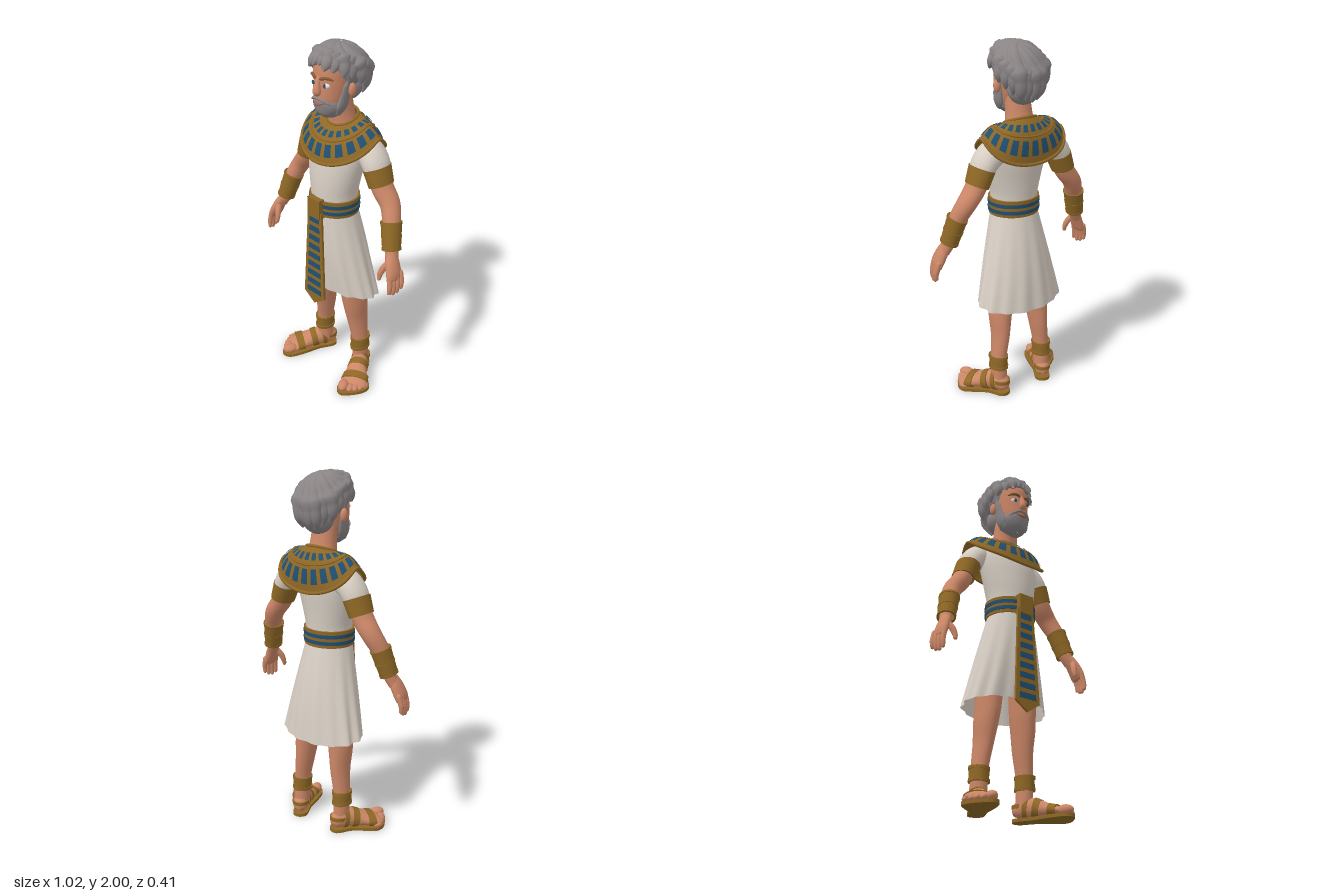
import * as THREE from 'three';
import { toCreasedNormals } from 'three/addons/utils/BufferGeometryUtils.js';

const V = (x, y, z) => new THREE.Vector3(x, y, z);
const Z = V(0, 0, 1), Y = V(0, 1, 0);

// Surface from fn(u, v) -> Vector3; closed joins the u ends
function grid(fn, nu, nv, closed = false) {
  const cols = closed ? nu : nu + 1, pos = [], idx = [];
  for (let j = 0; j <= nv; j++)
    for (let i = 0; i < cols; i++) pos.push(...fn(i / nu, j / nv).toArray());
  for (let j = 0; j < nv; j++)
    for (let i = 0; i < nu; i++) {
      const a = j * cols + i, b = j * cols + (i + 1) % cols;
      idx.push(a, a + cols, b, b, a + cols, b + cols);
    }
  const g = new THREE.BufferGeometry();
  g.setAttribute('position', new THREE.Float32BufferAttribute(pos, 3));
  g.setIndex(idx);
  g.computeVertexNormals();
  return g;
}

// Elliptical tube through points [x, y, z, r1, r2]; r2 lies along ref
function limb(pts, { n = 24, m = 20, ref = Z, straight = false } = {}) {
  const P = pts.map(p => V(p[0], p[1], p[2])), R = pts.map(p => V(p[3], p[4], 0));
  const path = new THREE.CatmullRomCurve3(P), rad = new THREE.CatmullRomCurve3(R);
  if (straight) n = pts.length - 1;
  const rings = [];
  for (let j = 0; j <= n; j++) {
    const t = straight ? P[n].clone().sub(P[0]).normalize() : path.getTangent(j / n);
    const u = t.clone().cross(ref).normalize(), w = u.clone().cross(t);
    rings.push({ p: straight ? P[j] : path.getPoint(j / n), r: straight ? R[j] : rad.getPoint(j / n), u, w });
  }
  return grid((a, v) => {
    const { p, r, u, w } = rings[Math.round(v * n)], k = a * Math.PI * 2;
    return p.clone().addScaledVector(u, Math.max(r.x, 0.001) * Math.cos(k)).addScaledVector(w, Math.max(r.y, 0.001) * Math.sin(k));
  }, m, n, true);
}

// Sharp-edged cuff between two sections
function band(a, b, ref = Z, m = 32) {
  const inner = p => [p[0], p[1], p[2], p[3] * 0.85, p[4] * 0.85];
  return toCreasedNormals(limb([inner(a), a, b, inner(b)], { straight: true, ref, m }), 0.6);
}

const ball = (x, y, z, rx, ry, rz) => new THREE.SphereGeometry(1, 24, 16).scale(rx, ry, rz).translate(x, y, z);

function mirrored(geo) {
  const g = geo.clone().scale(-1, 1, 1);
  if (!g.index) g.setIndex([...Array(g.attributes.position.count).keys()]);
  const ix = g.index.array;
  for (let i = 0; i < ix.length; i += 3) [ix[i], ix[i + 1]] = [ix[i + 1], ix[i]];
  return g;
}

// Saddle-shaped collar: a runs around, t from neck to outer edge, off lifts it
function collarPoint(a, t, off = 0) {
  const c = Math.cos(a), s = Math.sin(a), bulge = 0.028 * Math.sin(Math.PI * t) + off;
  const full = 1 + 0.22 * c * c * s * s;
  const inner = V(0.083 * c, 1.597 - 0.028 * s, -0.06 + 0.075 * s);
  const outer = V(0.245 * c * full, 1.552 - 0.162 * Math.sqrt(s * s + 0.015), -0.035 - 0.04 * c * c + 0.163 * s * full);
  return inner.lerp(outer, t).add(V(c * bulge * 0.5, bulge * 0.75, s * bulge * 0.8));
}

export function createModel() {
  const root = new THREE.Group();
  root.name = 'robedMan';
  const mat = (name, color, side = THREE.FrontSide) => {
    const m = new THREE.MeshStandardMaterial({ color, side });
    m.name = name;
    return m;
  };
  const skin = mat('skin', 0xcc8767), linen = mat('linen', 0xd9d0c5, THREE.DoubleSide);
  const hair = mat('greyHair', 0x8b8586), gold = mat('gold', 0x8f6826, THREE.DoubleSide);
  const blue = mat('blueInlay', 0x205072, THREE.DoubleSide), white = mat('eyeWhite', 0xe6e2dc);
  const brow = mat('brownBrow', 0x865a34), lip = mat('lip', 0xa8604e);
  const add = (name, geo, m) => {
    const mesh = new THREE.Mesh(geo, m);
    mesh.name = name;
    root.add(mesh);
  };
  const pair = (name, geo, m) => {
    add(name + 'Left', geo, m);
    add(name + 'Right', mirrored(geo), m);
  };

  // Torso and neck
  add('tunic', limb([[0, 1.06, 0, .128, .118], [0, 1.18, 0, .132, .122], [0, 1.28, -.005, .152, .126], [0, 1.4, -.02, .175, .125],
    [0, 1.47, -.035, .176, .112], [0, 1.53, -.055, .14, .08], [0, 1.555, -.06, .08, .05]], { m: 36 }), linen);
  add('neck', limb([[0, 1.5, -.06, .088, .08], [0, 1.57, -.056, .08, .073], [0, 1.64, -.045, .071, .068], [0, 1.72, -.03, .067, .068]]), skin);

  // Pleated skirt, lower at the back
  add('skirt', grid((u, v) => {
    const a = u * Math.PI * 2, s = Math.sin(a), t = 1 - v;
    const k = 1 + t * (0.026 * Math.cos(14 * a) + 0.016 * Math.sin(9 * a));
    return V((.13 + .122 * t) * k * Math.cos(a), 1.09 - t * (.522 - .025 * s), -.052 * t + (.12 + .03 * t + .014 * Math.sin(Math.PI * t)) * k * s);
  }, 144, 14, true), linen);

  // Belt, buckle and hanging panel
  add('belt', band([0, 1.075, 0, .14, .128], [0, 1.168, 0, .143, .132], Z, 48), gold);
  for (const y of [1.092, 1.129]) add('beltInlay', band([0, y, 0, .1445, .1325], [0, y + .02, 0, .1455, .1335], Z, 48), blue);
  add('buckle', new THREE.BoxGeometry(.09, .112, .04).translate(-.005, 1.122, .134), gold);
  const hang = g => {
    const p = g.attributes.position;
    for (let i = 0; i < p.count; i++) p.setZ(i, p.getZ(i) + (1.1 - p.getY(i)) * .02);
    g.computeVertexNormals();
    return g.translate(-.005, 0, 0);
  };
  const poly = pts => new THREE.Shape(pts.map(p => new THREE.Vector2(...p)));
  const extrude = (shape, depth, z) => new THREE.ExtrudeGeometry(shape, { depth, bevelEnabled: false }).translate(0, 0, z);
  add('frontPanel', hang(extrude(poly([[-.052, 1.1], [-.079, .56], [0, .506], [.079, .56], [.052, 1.1]]), .013, .132)), gold);
  for (let i = 0; i < 9; i++) {
    const y = .576 + i * .057, w = .055 - i * .0022;
    add('panelInlay', hang(extrude(poly([[-w, y], [w, y], [w - .002, y + .032], [-w + .002, y + .032]]), .003, .144)), blue);
  }

  // Broad collar with two rows of inlay
  add('collar', grid((u, v) => collarPoint(u * Math.PI * 2, 1 - v), 72, 12, true), gold);
  for (const [t, r] of [[0, .008], [.47, .005], [1, .009]]) {
    const loop = Array.from({ length: 48 }, (_, i) => collarPoint(i * Math.PI / 24, t));
    add('collarRim', new THREE.TubeGeometry(new THREE.CatmullRomCurve3(loop, true), 96, r, 8, true), gold);
  }
  for (const [t0, t1, count, fill] of [[.2, .38, 22, .6], [.57, .86, 22, .62]])
    for (let i = 0; i < count; i++)
      add('collarInlay', grid((u, v) => collarPoint((i + .5 + (u - .5) * fill) / count * Math.PI * 2, t1 + (t0 - t1) * v, .005), 3, 3), blue);

  // Arms, sleeves and cuffs
  pair('sleeve', limb([[.1, 1.47, -.07, .05, .065], [.178, 1.448, -.074, .072, .08], [.228, 1.4, -.072, .066, .082], [.252, 1.345, -.07, .06, .077]]), linen);
  pair('arm', limb([[.235, 1.39, -.07, .052, .066], [.285, 1.275, -.07, .053, .064], [.34, 1.2, -.07, .05, .057], [.38, 1.115, -.042, .046, .049],
    [.415, .985, -.01, .034, .038], [.438, .93, .005, .028, .035]]), skin);
  pair('armlet', band([.241, 1.378, -.07, .066, .084], [.275, 1.29, -.07, .06, .075]), gold);
  pair('wristCuff', band([.378, 1.125, -.042, .054, .058], [.415, .982, -.01, .047, .052]), gold);
  for (const t of [.0, .48, .92]) {
    const at = k => [.378 + .037 * k, 1.125 - .143 * k, -.042 + .032 * k, .0562 - .007 * k, .0603 - .006 * k];
    pair('cuffRidge', band(at(t), at(t + .08)), gold);
  }

  // Hands
  pair('palm', limb([[.425, .965, .003, .027, .034], [.448, .92, .015, .028, .045], [.467, .875, .024, .026, .05], [.477, .845, .027, .019, .046], [.48, .833, .028, .004, .02]]), skin);
  for (let i = 0; i < 4; i++) {
    const z = .062 - i * .0245, drop = [.01, 0, .006, .022][i], x = .464 + i * .005;
    pair('finger', limb([[x, .89, z, .003, .003], [x + .003, .875, z, .014, .014], [x + .014, .83, z + .003, .0145, .0135], [x + .017, .79 + drop, z + .006, .013, .013],
      [x + .015, .762 + drop, z + .007, .01, .01], [x + .014, .755 + drop, z + .007, .002, .002]], { n: 15, m: 10 }), skin);
  }
  pair('thumb', limb([[.436, .935, .03, .016, .018], [.418, .895, .055, .017, .018], [.409, .858, .068, .014, .014], [.41, .833, .074, .01, .01], [.411, .826, .075, .002, .002]], { n: 12, m: 10 }), skin);

  // Legs and anklets
  pair('leg', limb([[.105, .78, -.03, .072, .085], [.116, .56, -.04, .062, .086], [.124, .47, -.047, .057, .08], [.13, .37, -.057, .047, .069],
    [.147, .22, -.065, .042, .052], [.148, .07, -.07, .043, .05]]), skin);
  pair('anklet', band([.147, .24, -.064, .05, .059], [.15, .16, -.066, .049, .058]), gold);
  for (const y of [.24, .178]) pair('ankletRidge', band([.148, y, -.064, .053, .062], [.149, y - .016, -.065, .053, .062]), gold);

  // Feet and sandals, built pointing forward and turned out
  const foot = (name, g, m) => pair(name, g.rotateY(.49).translate(.152, 0, -.075), m);
  foot('foot', limb([[0, .042, -.06, .004, .004], [0, .052, -.045, .036, .036], [0, .072, 0, .046, .058], [0, .069, .06, .05, .055],
    [.006, .055, .12, .061, .042], [.012, .044, .18, .075, .03], [.012, .036, .222, .074, .02], [.012, .035, .232, .01, .005]], { ref: Y }), skin);
  [[-.038, .24, .03], [.002, .242, .021], [.031, .23, .02], [.057, .213, .019], [.08, .194, .018]].forEach(([x, z, r]) =>
    foot('toe', ball(x, .014 + r * .85, z, r, r * .9, r * 1.5), skin));
  const outline = [[0, -.065], [.038, -.045], [.046, .05], [.08, .13], [.1, .185], [.078, .23], [.01, .272], [-.04, .286], [-.073, .255], [-.066, .15], [-.045, .06], [-.038, -.045]];
  const sole = new THREE.Shape(new THREE.CatmullRomCurve3(outline.map(p => V(...p, 0)), true).getPoints(48).slice(0, -1).map(p => new THREE.Vector2(p.x, p.y)));
  foot('sandalSole', toCreasedNormals(new THREE.ExtrudeGeometry(sole, { depth: .018, bevelEnabled: false }).rotateX(Math.PI / 2).translate(0, .018, 0), .6), gold);
  foot('toeStrap', band([.011, .048, .145, .074, .042], [.013, .043, .188, .08, .036], Y), gold);
  foot('instepStrap', band([.002, .067, .06, .056, .06], [.005, .06, .095, .061, .052], Y), gold);
  foot('ankleStrap', band([0, .075, .008, .051, .064], [0, .072, .033, .053, .062], Y), gold);
  foot('heelStrap', band([0, .07, -.012, .048, .054], [0, .09, -.012, .048, .054]), gold);

  // Head and face
  add('head', limb([[0, 1.63, .05, .03, .03], [0, 1.66, .04, .065, .07], [0, 1.72, .025, .085, .094], [0, 1.8, .01, .097, .104], [0, 1.88, 0, .101, .108],
    [0, 1.94, -.02, .072, .08], [0, 1.96, -.03, .02, .03]], { m: 32 }), skin);
  add('nose', limb([[0, 1.855, .1, .012, .01], [0, 1.815, .114, .014, .015], [0, 1.775, .122, .023, .021], [0, 1.758, .118, .018, .014], [0, 1.753, .115, .003, .003]]), skin);
  pair('eye', ball(.042, 1.808, .094, .021, .015, .016), white);
  pair('iris', ball(.041, 1.808, .106, .010, .011, .006), blue);
  pair('eyebrow', limb([[.012, 1.838, .113, .004, .004], [.028, 1.845, .113, .008, .008], [.055, 1.849, .1, .007, .008], [.078, 1.838, .08, .003, .003]], { n: 12, m: 10 }), brow);
  pair('ear', ball(.112, 1.778, -.015, .018, .036, .022), skin);

  // Beard, sideburns and moustache
  add('beard', limb([[0, 1.622, .068, .004, .004], [0, 1.634, .063, .045, .045], [0, 1.662, .05, .075, .073], [0, 1.688, .036, .086, .088], [0, 1.71, .015, .084, .08]], { m: 32 }), hair);
  pair('sideburn', limb([[.06, 1.65, .04, .014, .022], [.078, 1.69, .025, .016, .038], [.088, 1.74, .012, .013, .034], [.096, 1.8, .005, .012, .026], [.1, 1.87, .0, .012, .026]]), hair);
  pair('moustache', limb([[0, 1.738, .119, .006, .008], [.025, 1.735, .115, .008, .01], [.052, 1.72, .099, .007, .009], [.07, 1.705, .08, .003, .003]], { n: 12, m: 10 }), hair);
  add('mouth', limb([[-.04, 1.717, .107, .002, .003], [0, 1.707, .122, .007, .007], [.04, 1.717, .107, .002, .003]], { n: 12, m: 10 }), lip);

  // Hair: a cap covered with swept locks that swirl from the crown
  add('hairCap', ball(0, 1.87, -.045, .125, .115, .13), hair);
  add('napeHair', ball(0, 1.765, -.09, .088, .085, .075), hair);
  const count = 20;
  for (let i = 0; i < count; i++) {
    const a0 = i / count * Math.PI * 2, wob = Math.sin(i * 2.4), pts = [];
    const back = (1 - Math.cos(a0 + .7)) / 2, end = 1.05 + 1.17 * Math.pow(back, .8) + .05 * wob;
    for (let k = 0; k <= 6; k++) {
      const t = k / 6, p = .03 + (end - .03) * t, a = a0 + .75 * Math.sin(t * 1.9);
      const r = [.018, .022, .026, .029, .029, .024, .006][k] * (1 + .12 * wob), f = 1 + .04 * wob * t;
      const front = Math.max(0, Math.cos(a)) * t, rear = Math.max(0, -Math.cos(a)) * t;
      pts.push([.128 * f * Math.sin(p) * Math.sin(a), 1.84 + .138 * Math.cos(p) + .02 * front * (1 - t) - .05 * rear,
        -.045 + .133 * f * Math.sin(p) * Math.cos(a) + .055 * front, r, r * 1.15]);
    }
    const am = a0 + .5;
    add('hairLock', limb(pts, { n: 18, m: 10, ref: V(Math.cos(am), 0, -Math.sin(am)) }), hair);
  }
  return root;
}
